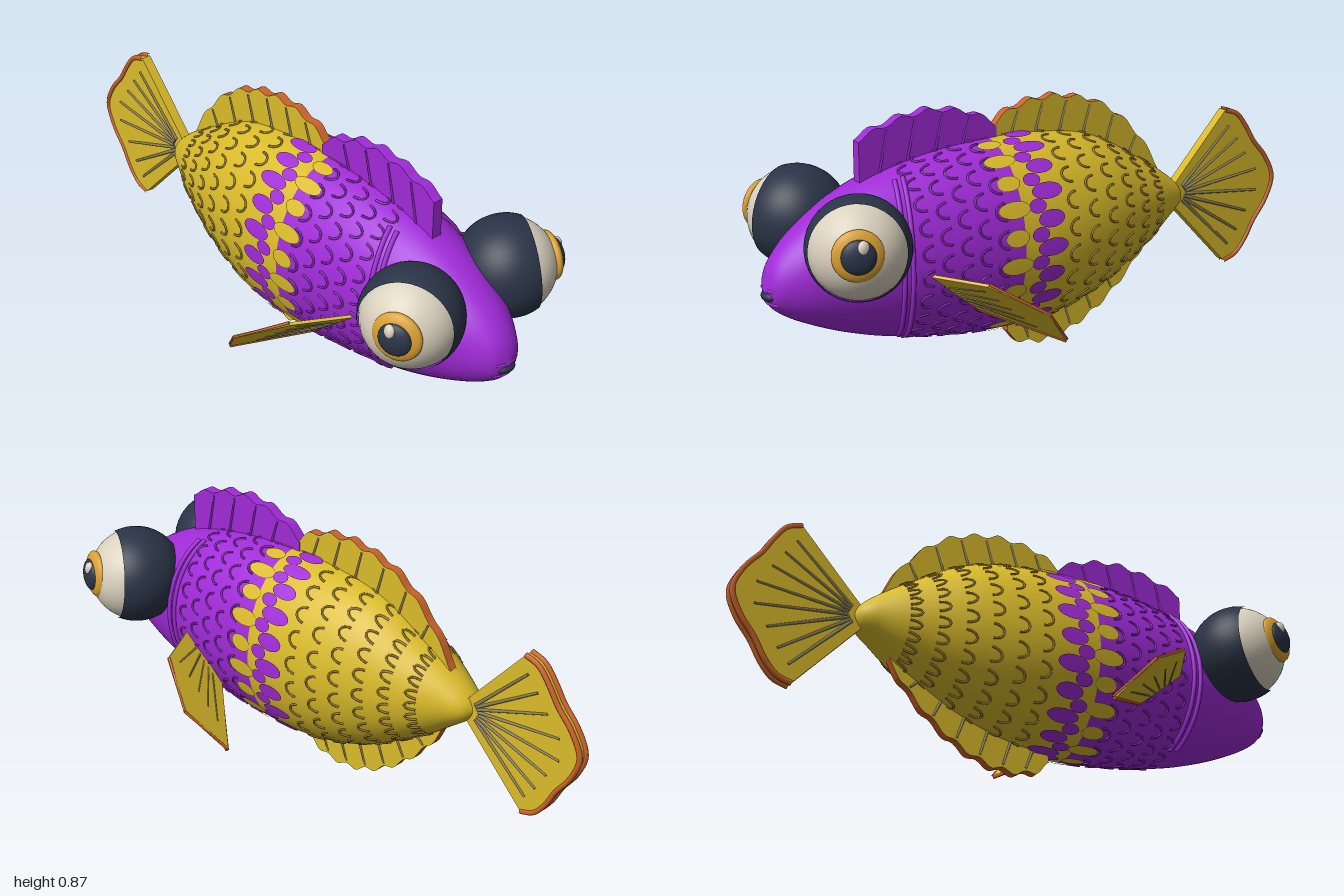
import * as THREE from 'three';
import { mergeGeometries } from 'three/addons/utils/BufferGeometryUtils.js';

const V = (x, y, z) => new THREE.Vector3(x, y, z);
const mat = (name, color) => {
  const m = new THREE.MeshStandardMaterial({ color });
  m.name = name;
  return m;
};

// body sections: z, half width, top, bottom
const BODY = [
  [1, 0, 0.37, 0.37], [0.985, 0.046, 0.432, 0.325], [0.95, 0.08, 0.487, 0.29], [0.88, 0.122, 0.55, 0.25],
  [0.75, 0.168, 0.632, 0.195], [0.6, 0.2, 0.69, 0.15], [0.4, 0.225, 0.73, 0.115], [0.2, 0.238, 0.742, 0.097],
  [0, 0.234, 0.735, 0.105], [-0.2, 0.2, 0.695, 0.165], [-0.4, 0.132, 0.585, 0.275],
  [-0.5, 0.085, 0.52, 0.345], [-0.56, 0.048, 0.47, 0.39], [-0.585, 0, 0.43, 0.43],
];
// fin edges: z, y
const FRONT_DORSAL = [[0.67, 0.81], [0.55, 0.85], [0.4, 0.868], [0.25, 0.835], [0.17, 0.79]];
const REAR_DORSAL = [[0.18, 0.79], [0.1, 0.835], [-0.05, 0.853], [-0.2, 0.82], [-0.3, 0.765], [-0.4, 0.67], [-0.48, 0.55]];
const ANAL = [[0.13, 0.05], [0.08, 0.015], [0, 0], [-0.1, 0.012], [-0.2, 0.055], [-0.3, 0.125], [-0.4, 0.225], [-0.46, 0.31]];

// smooth lookup in a table whose first column descends
function lookup(table, z) {
  let i = 0;
  while (i < table.length - 2 && z < table[i + 1][0]) i++;
  const a = table[i], b = table[i + 1], p = table[i - 1] || a, n = table[i + 2] || b;
  const h = b[0] - a[0], t = THREE.MathUtils.clamp((z - a[0]) / h, 0, 1);
  return a.slice(1).map((_, k) => {
    const c = k + 1, ma = (b[c] - p[c]) / (b[0] - p[0]) * h, mb = (n[c] - a[c]) / (n[0] - a[0]) * h;
    const t2 = t * t, t3 = t2 * t;
    return (2 * t3 - 3 * t2 + 1) * a[c] + (t3 - 2 * t2 + t) * ma + (3 * t2 - 2 * t3) * b[c] + (t3 - t2) * mb;
  });
}

// point on the body skin; angle 0 is the top, a quarter turn is +x
function skin(z, angle, off = 0) {
  const [w, top, bot] = lookup(BODY, z);
  return V((w + off) * Math.sin(angle), (top + bot) / 2 + ((top - bot) / 2 + off) * Math.cos(angle), z);
}

function meshData(points, index) {
  const g = new THREE.BufferGeometry().setFromPoints(points);
  g.setIndex(index);
  g.computeVertexNormals();
  return g;
}

// half of the body, from its tip to the colour border
function loft(tip, border) {
  const rings = 40, sides = 48, pts = [], idx = [];
  for (let i = 0; i <= rings; i++) {
    const z = tip + (border - tip) * (1 - Math.cos(i / rings * Math.PI / 2));
    for (let j = 0; j < sides; j++) pts.push(skin(z, j / sides * Math.PI * 2));
  }
  for (let i = 0; i < rings; i++) for (let j = 0; j < sides; j++) {
    const k = (j + 1) % sides, a = i * sides + j, b = i * sides + k, c = a + sides, d = b + sides;
    idx.push(...(tip > border ? [a, b, c, b, d, c] : [a, c, b, b, c, d]));
  }
  return meshData(pts, idx);
}

// thin oval lying on the skin
function oval(z, angle, halfLength, halfAngle, off) {
  const n = 18, pts = [skin(z, angle, off)], idx = [];
  for (let i = 0; i < n; i++) {
    const t = i / n * Math.PI * 2;
    pts.push(skin(z + halfLength * Math.sin(t), angle + halfAngle * Math.cos(t), off));
    idx.push(0, 1 + (i + 1) % n, 1 + i);
  }
  return meshData(pts, idx);
}

const tube = (pts, r, n = 8, sides = 5) => new THREE.TubeGeometry(new THREE.CatmullRomCurve3(pts), n, r, sides);

function rod(a, b, r) {
  const d = b.clone().sub(a);
  const g = new THREE.CylinderGeometry(r * 0.7, r, d.length(), 6);
  g.applyQuaternion(new THREE.Quaternion().setFromUnitVectors(V(0, 1, 0), d.normalize()));
  const m = a.clone().add(b).multiplyScalar(0.5);
  return g.translate(m.x, m.y, m.z);
}

// upright plate from (z, y) outline points
function plate(outline, thick) {
  const shape = new THREE.Shape(outline.map(([z, y]) => new THREE.Vector2(z, y)));
  return new THREE.ExtrudeGeometry(shape, { depth: thick, bevelEnabled: false })
    .translate(0, 0, -thick / 2).rotateY(-Math.PI / 2);
}

export function createModel() {
  const model = new THREE.Group();
  const purple = mat('purple', 0xa02bd8), darkPurple = mat('darkPurple', 0x8425b4);
  const yellow = mat('yellow', 0xdabb2a), brown = mat('brown', 0x96792a), rayGrey = mat('rayGrey', 0x8c8058);
  const orange = mat('orange', 0xcc642a);
  const navy = mat('navy', 0x2a3447), cream = mat('cream', 0xdad1be), amber = mat('amber', 0xd9a032);
  const add = (name, geo, material, parent = model) => {
    const m = new THREE.Mesh(geo, material);
    m.name = name;
    parent.add(m);
    return m;
  };

  // body in two colours
  add('frontBody', loft(1, 0.2), purple);
  add('rearBody', loft(-0.585, 0.2), yellow);

  // interlocking ovals at the colour border, and raised scale arcs
  const N = 22, step = Math.PI * 2 / N;
  const yellowOvals = [], purpleOvals = [], frontArcs = [], rearArcs = [];
  for (let i = 0; i < N; i++) {
    yellowOvals.push(oval(0.23, i * step, i % 2 ? 0.042 : 0.058, 0.09, 0.004));
    purpleOvals.push(oval(0.1, (i + 0.5) * step, i % 2 ? 0.058 : 0.05, 0.09, 0.006));
    purpleOvals.push(oval(0.145, i * step, 0.032, 0.075, 0.005));
  }
  const arcRow = (list, z, shift) => {
    for (let i = 0; i < N; i++) {
      const pts = [];
      for (let k = 0; k <= 6; k++) {
        const t = k / 6 * Math.PI;
        pts.push(skin(z + 0.036 * Math.sin(t), (i + shift) * step + 0.09 * Math.cos(t), 0.001));
      }
      list.push(tube(pts, 0.004));
    }
  };
  for (let r = 0; r < 5; r++) arcRow(frontArcs, 0.52 - r * 0.065, r % 2 / 2);
  for (let r = 0; r < 6; r++) arcRow(rearArcs, -0.01 - r * 0.084, r % 2 / 2);
  add('yellowBorderScales', mergeGeometries(yellowOvals), yellow);
  add('purpleBorderScales', mergeGeometries(purpleOvals), purple);
  add('frontScales', mergeGeometries(frontArcs), darkPurple);
  add('rearScales', mergeGeometries(rearArcs), brown);

  // gill ridges
  for (const s of [1, -1]) for (const dz of [0, 0.028]) {
    const pts = [];
    for (let k = 0; k <= 14; k++) {
      const a = 0.4 + k / 14 * 2.3;
      pts.push(skin(0.53 + dz + 0.06 * Math.sin(a), s * a, 0.002));
    }
    add('gillRidge', tube(pts, 0.008, 28, 8), purple);
  }

  // mouth
  for (const [name, y, z, w, h, m] of [['mouth', 0.354, 0.98, 0.037, 0.018, navy],
    ['upperLip', 0.376, 0.973, 0.054, 0.012, purple], ['lowerLip', 0.331, 0.965, 0.05, 0.012, purple]]) {
    const lip = add(name, new THREE.SphereGeometry(1, 20, 12), m);
    lip.scale.set(w, h, 0.026);
    lip.position.set(0, y, z);
  }

  // eyes
  for (const s of [1, -1]) {
    const eye = new THREE.Group();
    eye.name = s > 0 ? 'leftEye' : 'rightEye';
    eye.position.set(s * 0.203, 0.526, 0.778);
    add('eyeball', new THREE.SphereGeometry(0.158, 40, 28), cream, eye);
    const lid = add('eyelid', new THREE.SphereGeometry(0.164, 40, 28, 0, Math.PI * 2, 1.13, Math.PI - 1.13), navy, eye);
    lid.quaternion.setFromUnitVectors(V(0, 1, 0), V(s * 0.86, 0.09, 0.5).normalize());
    const gaze = new THREE.Group();
    gaze.name = 'gaze';
    gaze.position.set(s * 0.122, 0.02, 0.067);
    gaze.quaternion.setFromUnitVectors(V(0, 1, 0), V(s * 0.92, 0.08, 0.38).normalize());
    add('iris', new THREE.SphereGeometry(0.08, 32, 16), amber, gaze).scale.y = 0.34;
    const pupil = add('pupil', new THREE.SphereGeometry(0.054, 28, 14), navy, gaze);
    pupil.scale.y = 0.42;
    pupil.position.y = 0.018;
    eye.add(gaze);
    const glint = add('glint', new THREE.SphereGeometry(0.02, 16, 12), cream, eye);
    glint.scale.set(0.8, 1.2, 1);
    glint.position.set(s * 0.15, 0.049, 0.064);
    model.add(eye);
  }

  // wavy fins along the back and belly
  const longFin = (name, edge, up, bumps, thick, faces, rim, rays) => {
    const z0 = edge[0][0], z1 = edge[edge.length - 1][0], n = bumps * 8, outline = [], rods = [];
    const base = z => lookup(BODY, z)[up > 0 ? 1 : 2];
    for (let i = 0; i <= n; i++) {
      const z = z0 + (z1 - z0) * i / n;
      outline.push([z, lookup(edge, z)[0] - up * 0.008 * (1 + Math.cos(i / 4 * Math.PI))]);
    }
    for (let i = 12; i >= 0; i--) {
      const z = z0 + (z1 - z0) * i / 12;
      outline.push([z, base(z) - up * 0.04]);
    }
    for (let i = 1; i < bumps; i++) for (const x of [-thick / 2, thick / 2]) {
      const z = z0 + (z1 - z0) * i / bumps, zb = z + 0.03;
      rods.push(rod(V(x, base(zb) - up * 0.01, zb), V(x, lookup(edge, z)[0] - up * 0.025, z), 0.005));
    }
    add(name, plate(outline, thick), [faces, rim]);
    add(name + 'Rays', mergeGeometries(rods), rays);
  };
  longFin('frontDorsalFin', FRONT_DORSAL, 1, 5, 0.036, purple, purple, darkPurple);
  longFin('rearDorsalFin', REAR_DORSAL, 1, 7, 0.03, yellow, orange, rayGrey);
  longFin('analFin', ANAL, -1, 7, 0.03, yellow, orange, rayGrey);

  // tail fin with a rim along its wavy rear edge
  const rear = new THREE.CatmullRomCurve3([[-0.77, 0.698], [-0.82, 0.68], [-0.862, 0.63], [-0.9, 0.57], [-0.955, 0.505],
    [-0.99, 0.425], [-0.962, 0.345], [-0.91, 0.275], [-0.872, 0.21], [-0.83, 0.165], [-0.78, 0.148]]
    .map(([z, y]) => V(0, y, z)));
  const rearPts = rear.getPoints(40);
  add('tailFin', plate([[-0.54, 0.45], ...rearPts.map(p => [p.z, p.y]), [-0.54, 0.4]], 0.034), yellow);
  const tailRays = [];
  for (const x of [-0.015, 0.015]) add('tailRim', tube(rearPts.map(p => V(x, p.y, p.z)), 0.009, 48, 6), orange);
  for (const x of [-0.018, 0.018]) for (let i = 1; i <= 8; i++) {
    const end = rear.getPoint(i / 9), root = V(0, 0.43, -0.56);
    const a = root.clone().lerp(end, 0.1), b = root.clone().lerp(end, 0.85);
    a.x = b.x = x;
    tailRays.push(rod(a, b, 0.006));
  }
  add('tailRays', mergeGeometries(tailRays), rayGrey);

  // side fins
  for (const s of [1, -1]) {
    const pts = [[0.2, 0.39, 0.53], [0.38, 0.39, 0.43], [0.468, 0.285, 0.265], [0.39, 0.158, 0.148], [0.21, 0.25, 0.36]]
      .map(([x, y, z]) => V(s * x, y, z));
    const u = pts[1].clone().sub(pts[0]).normalize();
    const n = u.clone().cross(pts[3].clone().sub(pts[0])).normalize(), v = n.clone().cross(u);
    const shape = new THREE.Shape(pts.map(p => {
      const d = p.clone().sub(pts[0]);
      return new THREE.Vector2(d.dot(u), d.dot(v));
    }));
    const geo = new THREE.ExtrudeGeometry(shape, { depth: 0.01, bevelEnabled: false }).translate(0, 0, -0.005);
    geo.applyMatrix4(new THREE.Matrix4().makeBasis(u, v, n).setPosition(pts[0]));
    const name = s > 0 ? 'leftSideFin' : 'rightSideFin';
    add(name, geo, yellow);
    // orange rim on the outer and trailing edges
    const up = n.clone().multiplyScalar(Math.sign(n.y));
    const rim = [[1, 0.004, 0.005], [2, 0.004, 0.005], [3, -0.002, 0.007]].map(([i, lift, r]) =>
      rod(pts[i].clone().addScaledVector(up, lift), pts[i + 1].clone().addScaledVector(up, lift), r));
    add(name + 'Rim', mergeGeometries(rim), orange);
    const rays = [];
    for (const side of [-0.005, 0.005]) for (let i = 0; i < 5; i++) {
      const t = i / 4, root = pts[0].clone().lerp(pts[4], 0.3 + 0.4 * t);
      const end = pts[1].clone().lerp(pts[3], 0.1 + 0.75 * t);
      const lift = n.clone().multiplyScalar(side);
      rays.push(rod(root.clone().lerp(end, 0.1).add(lift), root.clone().lerp(end, 0.8).add(lift), 0.0035));
    }
    add(name + 'Rays', mergeGeometries(rays), rayGrey);
  }
  return model;
}
